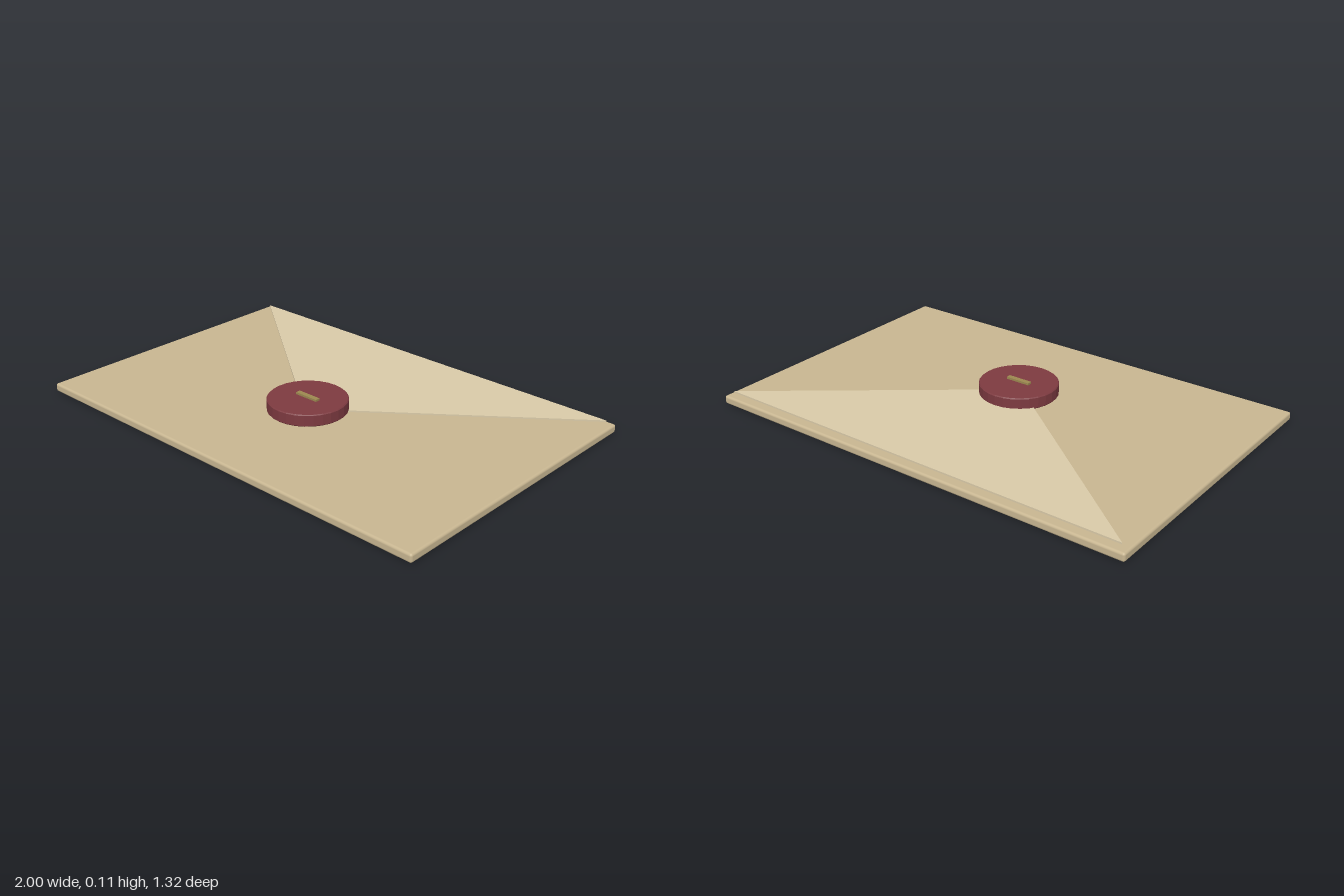
import * as THREE from 'three';
import { RoundedBoxGeometry } from 'three/addons/geometries/RoundedBoxGeometry.js';

export function createModel() {
  const model = new THREE.Group();
  model.name = 'sealedEnvelope';

  const add = (name, geometry, color, x, y, z) => {
    const mesh = new THREE.Mesh(geometry, new THREE.MeshStandardMaterial({ color }));
    mesh.name = name;
    mesh.position.set(x, y, z);
    model.add(mesh);
    return mesh;
  };

  // Envelope body: thin slab with softened edges
  add('envelopeBody', new RoundedBoxGeometry(2, 0.037, 1.316, 3, 0.01), 0xc8b691, 0, 0.0185, 0);

  // Triangular flap, hovering just above the body
  const triangle = new THREE.Shape([
    new THREE.Vector2(-0.97, 0.627),
    new THREE.Vector2(0, -0.127),
    new THREE.Vector2(0.97, 0.627),
  ]);
  const flap = new THREE.ExtrudeGeometry(triangle, { depth: 0.007, bevelEnabled: false });
  flap.rotateX(-Math.PI / 2);
  add('flap', flap, 0xd9caa8, 0, 0.048, 0);

  // Wax seal: disc with a narrow bevel at top and bottom
  const r = 0.171, h = 0.053, b = 0.004;
  const profile = [[0, 0], [r - b, 0], [r, b], [r, h - b], [r - b, h], [0, h]]
    .map(([x, y]) => new THREE.Vector2(x, y));
  const sealGeometry = new THREE.LatheGeometry(profile, 28).toNonIndexed();
  sealGeometry.computeVertexNormals();
  const seal = add('waxSeal', sealGeometry, 0x7d3a40, 0, 0.048, 0.107);
  seal.material.flatShading = true;

  // Small raised bar pressed into the seal
  add('sealBar', new THREE.BoxGeometry(0.112, 0.016, 0.022), 0x9c8850, 0, 0.102, 0.107);

  return model;
}
